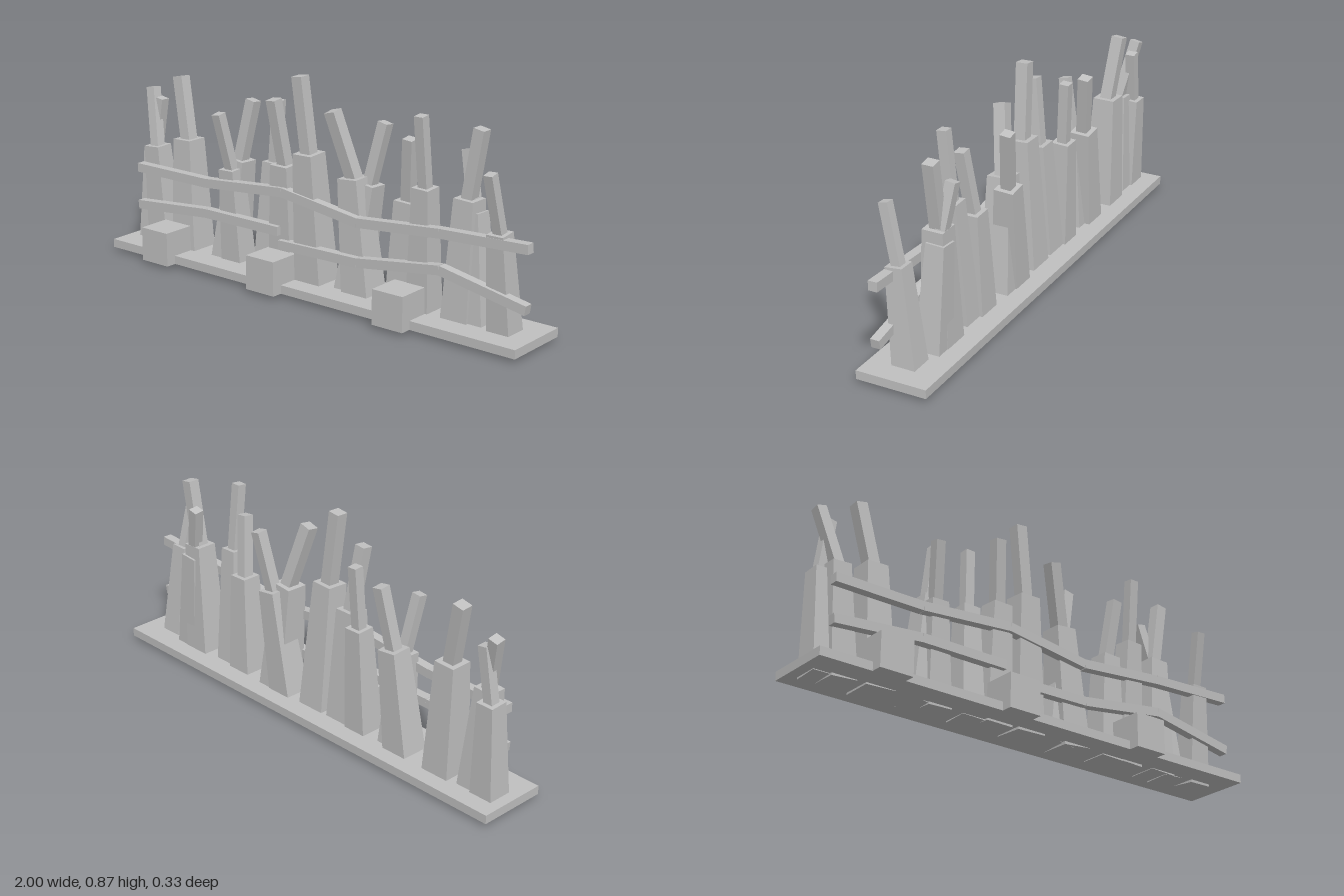
import * as THREE from 'three';

const UP = new THREE.Vector3(0, 1, 0);

export function createModel() {
  const model = new THREE.Group();
  model.name = 'fence';
  const grey = new THREE.MeshStandardMaterial({ color: 0xc0c0c0 });
  grey.name = 'plain grey';

  function box(name, w, h, d, x, y, z) {
    const mesh = new THREE.Mesh(new THREE.BoxGeometry(w, h, d), grey);
    mesh.position.set(x, y, z);
    mesh.name = name;
    model.add(mesh);
    return mesh;
  }

  // Square beam from point a to point b, tapering towards b
  function beam(name, a, b, width, taper = 1) {
    const from = new THREE.Vector3(...a), to = new THREE.Vector3(...b);
    const dir = to.clone().sub(from);
    const mesh = box(name, width, dir.length(), width, 0, 0, 0);
    const pos = mesh.geometry.attributes.position;
    for (let i = 0; i < pos.count; i++) {
      if (pos.getY(i) > 0) pos.setXYZ(i, pos.getX(i) * taper, pos.getY(i), pos.getZ(i) * taper);
    }
    mesh.geometry.computeVertexNormals();
    mesh.quaternion.setFromUnitVectors(UP, dir.normalize());
    mesh.position.copy(from.add(to).multiplyScalar(0.5));
  }

  // Tapered post with a slim pole that starts just below its shoulder
  function post(footX, shoulder, tip, width) {
    const foot = [footX, 0.01, -0.028 + 0.2 * shoulder[2]];
    const poleStart = shoulder.map((s, i) => s - (tip[i] - s) * 0.06);
    beam('post', foot, shoulder, width * 1.4, 1 / 1.4);
    beam('postTip', poleStart, tip, width * 0.54);
  }

  // Base slab and the blocks along its front edge
  box('base', 2, 0.035, 0.285, 0, 0.0325, -0.0225);
  for (const x of [-0.715, -0.147, 0.472]) box('frontBlock', 0.14, 0.14, 0.14, x, 0.085, 0.095);

  // Posts from right to left: foot x, shoulder, tip, shoulder width
  post(-0.835, [-0.865, 0.455, -0.02], [-0.925, 0.685, -0.065], 0.077);
  post(-0.905, [-0.91, 0.43, -0.06], [-0.877, 0.645, -0.065], 0.074);
  post(-0.685, [-0.705, 0.505, -0.04], [-0.76, 0.755, -0.06], 0.09);
  post(-0.425, [-0.44, 0.43, -0.005], [-0.465, 0.66, 0.04], 0.073);
  post(-0.485, [-0.435, 0.46, -0.06], [-0.39, 0.705, -0.085], 0.083);
  post(-0.265, [-0.255, 0.48, -0.06], [-0.245, 0.73, -0.072], 0.074);
  post(-0.16, [-0.155, 0.5, 0], [-0.18, 0.76, 0.035], 0.083);
  post(-0.015, [-0.03, 0.567, 0.005], [-0.065, 0.865, 0.014], 0.09);
  post(0.215, [0.17, 0.5, -0.02], [0.1, 0.755, 0.022], 0.09);
  post(0.15, [0.215, 0.475, -0.065], [0.265, 0.715, -0.09], 0.08);
  post(0.405, [0.42, 0.455, -0.03], [0.446, 0.7, 0], 0.08);
  post(0.5, [0.518, 0.53, 0.002], [0.515, 0.803, 0.03], 0.073);
  post(0.665, [0.685, 0.51, -0.04], [0.73, 0.775, -0.042], 0.085);
  post(0.735, [0.7, 0.46, -0.055], [0.65, 0.68, -0.082], 0.075);
  post(0.865, [0.858, 0.427, 0.02], [0.845, 0.652, 0.072], 0.07);

  // Crooked rails
  const rails = [
    [[-0.91, 0.365], [-0.53, 0.365], [-0.13, 0.4], [0.24, 0.35], [0.62, 0.385], [0.998, 0.402]],
    [[-0.91, 0.205], [-0.53, 0.238], [-0.15, 0.238]],
    [[-0.145, 0.185], [0.24, 0.192], [0.62, 0.245], [0.995, 0.175]],
  ];
  for (const rail of rails) {
    for (let i = 1; i < rail.length; i++) {
      beam('rail', [...rail[i - 1], 0.037], [...rail[i], 0.037], 0.037);
    }
  }
  return model;
}
